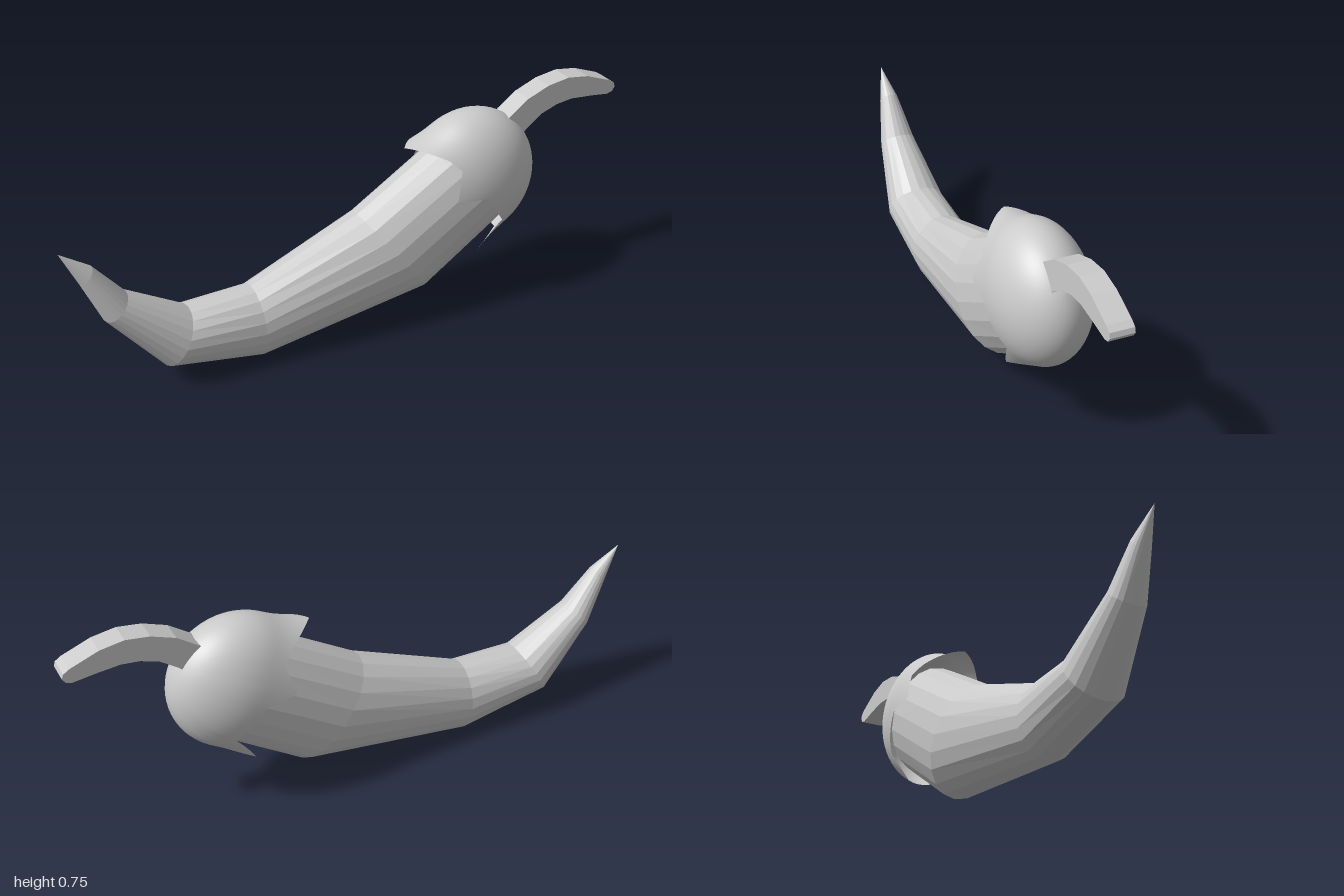
import * as THREE from 'three';

// Skin a list of closed rings (arrays of Vector3), ordered towards +x.
function loft(rings) {
  const n = rings[0].length;
  const index = [];
  for (let i = 0; i < rings.length - 1; i++) {
    for (let j = 0; j < n; j++) {
      const k = (j + 1) % n;
      const a = i * n + j, b = i * n + k, c = a + n, d = b + n;
      index.push(a, b, d, a, d, c);
    }
  }
  const geometry = new THREE.BufferGeometry().setFromPoints(rings.flat());
  geometry.setIndex(index);
  geometry.computeVertexNormals();
  return geometry;
}

function addMesh(group, name, geometry, options = {}) {
  const mesh = new THREE.Mesh(geometry, new THREE.MeshStandardMaterial({ color: 0xcccccc, ...options }));
  mesh.name = name;
  group.add(mesh);
}

// Curved fruit: each section is [top x, top y, bottom x, bottom y, half width].
function bodyGeometry() {
  const sections = [
    [-1, 0.56, -1, 0.56, 0],
    [-0.9, 0.49, -0.945, 0.44, 0.033],
    [-0.8, 0.37, -0.88, 0.29, 0.062],
    [-0.6, 0.25, -0.7, 0.07, 0.102],
    [-0.38, 0.26, -0.37, 0.003, 0.105],
    [0.01, 0.42, 0.25, 0.095, 0.138],
    [0.29, 0.59, 0.485, 0.255, 0.14],
    [0.36, 0.63, 0.55, 0.3, 0.14],
    [0.455, 0.46, 0.455, 0.46, 0],
  ];
  const sides = 20;
  return loft(sections.map(([tx, ty, bx, by, w]) =>
    Array.from({ length: sides }, (_, j) => {
      const p = (j / sides) * Math.PI * 2;
      const s = (1 + Math.cos(p)) / 2;
      return new THREE.Vector3(bx + (tx - bx) * s, by + (ty - by) * s, w * Math.sin(p));
    })));
}

// Rounded cap with five pointed teeth along its rim.
function capGeometry() {
  const R = 0.235, columns = 72, rows = 18;
  const center = new THREE.Vector3(0.44, 0.465, 0);
  const axis = new THREE.Vector3(0.867, 0.5, 0).normalize();
  const up = new THREE.Vector3(-axis.y, axis.x, 0);
  // Rim: [degrees from the top, offset along the axis], mirrored in z
  const rim = [[0, -0.143], [40, -0.062], [55, -0.048], [75, -0.12], [90, -0.034],
    [130, -0.015], [145, -0.14], [165, -0.03], [180, -0.025]];
  const rimAt = (deg) => {
    const d = deg > 180 ? 360 - deg : deg;
    const i = Math.max(1, rim.findIndex((r) => r[0] >= d));
    const [d0, a0] = rim[i - 1], [d1, a1] = rim[i];
    return a0 + (a1 - a0) * (d - d0) / (d1 - d0);
  };
  const rings = [];
  for (let i = 0; i <= rows; i++) {
    rings.push(Array.from({ length: columns }, (_, j) => {
      const deg = j * 360 / columns, p = THREE.MathUtils.degToRad(deg);
      const edge = rimAt(deg);
      const a = i === rows ? R : edge + (R - edge) * Math.sin(i / rows * Math.PI / 2);
      const r = a > 0 ? Math.sqrt(Math.max(0, R * R - a * a)) : R;
      const flare = a < 0 ? 1.3 * a * a : 0;
      return center.clone()
        .addScaledVector(axis, a)
        .addScaledVector(up, (r + flare) * Math.cos(p))
        .setZ(r * 0.16 / R * Math.sin(p));
    }));
  }
  return loft(rings);
}

// Square-cut curved stem with a rounded tip.
function stemGeometry() {
  const outline = [[0.53, 0.62], [0.57, 0.66], [0.64, 0.71], [0.72, 0.741], [0.8, 0.753],
    [0.88, 0.741], [0.975, 0.705], [0.995, 0.692], [1, 0.676], [0.99, 0.661], [0.97, 0.655],
    [0.9, 0.664], [0.82, 0.671], [0.76, 0.664], [0.7, 0.643], [0.64, 0.599], [0.6, 0.56]];
  const shape = new THREE.Shape(outline.map(([x, y]) => new THREE.Vector2(x, y)));
  const width = 0.077;
  return new THREE.ExtrudeGeometry(shape, { depth: width, bevelEnabled: false })
    .translate(0, 0, -width / 2);
}

export function createModel() {
  const group = new THREE.Group();
  group.name = 'chiliPepper';
  addMesh(group, 'body', bodyGeometry(), { flatShading: true });
  addMesh(group, 'cap', capGeometry(), { side: THREE.DoubleSide });
  addMesh(group, 'stem', stemGeometry(), { flatShading: true });
  return group;
}
